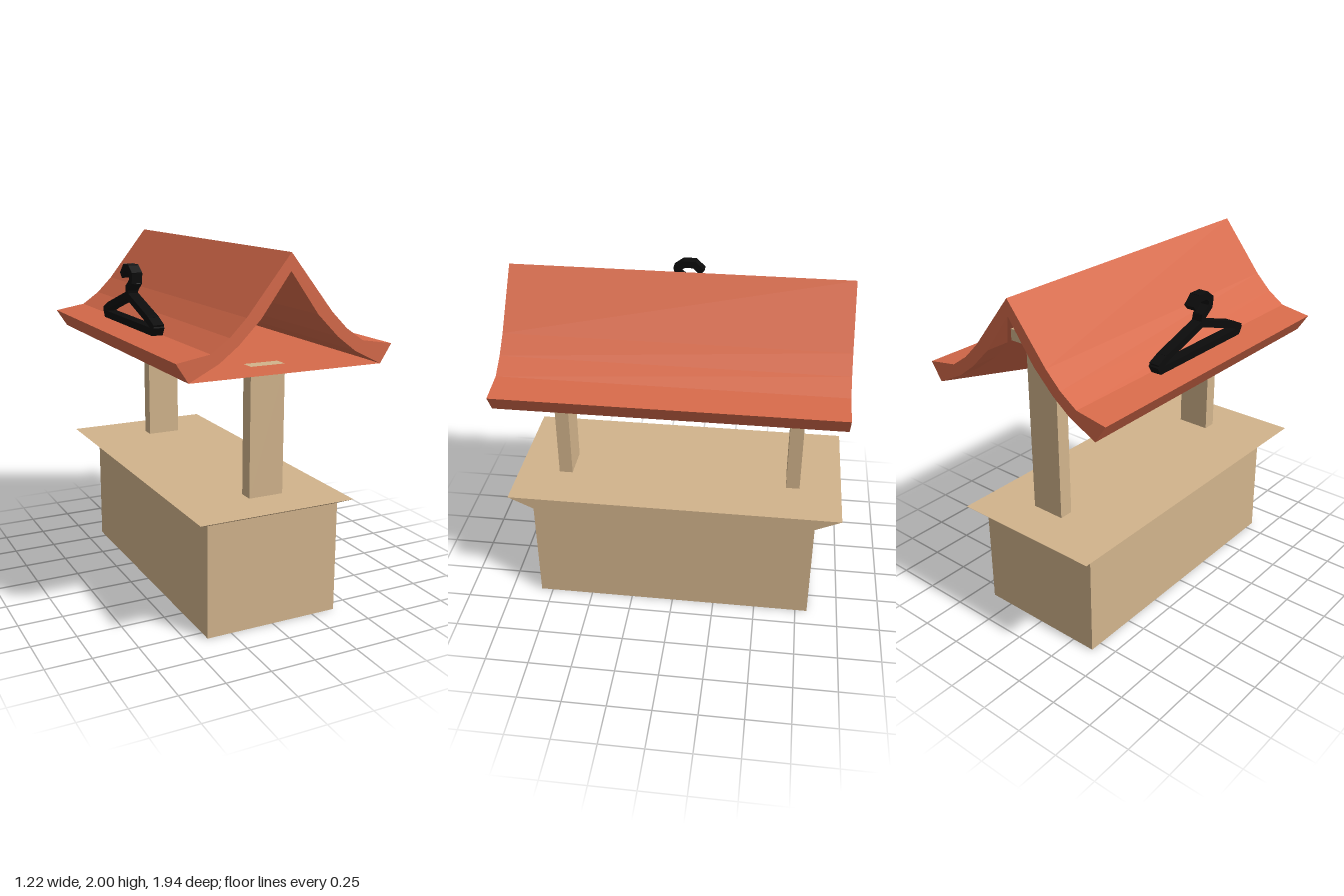
import * as THREE from 'three';

const mat = (color) => new THREE.MeshStandardMaterial({ color, flatShading: true, side: THREE.DoubleSide });

export function createModel() {
  const model = new THREE.Group();
  const wood = mat(0xd2b48c), tile = mat(0xd66a4a), black = mat(0x0c0c0c);

  function add(name, geometry, material, parent = model) {
    const mesh = new THREE.Mesh(geometry, material);
    mesh.name = name;
    parent.add(mesh);
    return mesh;
  }

  // Box between two corners
  function box(x0, x1, y0, y1, z0, z1) {
    const g = new THREE.BoxGeometry(x1 - x0, y1 - y0, z1 - z0);
    return g.translate((x0 + x1) / 2, (y0 + y1) / 2, (z0 + z1) / 2);
  }

  // Move the vertices of a geometry by a rule
  function reshape(g, rule) {
    const p = g.attributes.position, v = new THREE.Vector3();
    for (let i = 0; i < p.count; i++) {
      rule(v.fromBufferAttribute(p, i));
      p.setXYZ(i, v.x, v.y, v.z);
    }
    g.computeVertexNormals();
    return g;
  }

  // Counter body and its flared top, flush on the +x side
  add('counterBody', box(-0.39, 0.39, 0, 0.63, -0.82, 0.82), wood);
  add('counterTop', reshape(box(-0.39, 0.39, 0.63, 0.7, -0.82, 0.82), (v) => {
    if (v.y < 0.69) return;
    if (v.x < 0) v.x = -0.5;
    v.z = Math.sign(v.z) * 0.97;
  }), wood);

  // Roof: curved profile, mirrored and extruded along z
  const L = 0.935, W = 0.545, eave = 1.41, peak = 1.91;
  const outer = [[0, 2], [0.24, 1.7], [0.33, 1.61], [0.43, 1.54], [0.61, 1.51]];
  const inner = [[W, eave], [0.385, 1.49], [0.28, 1.57], [0.16, 1.69], [0, peak]];
  const half = [...outer, ...inner];
  const mirrored = half.slice(1, -1).reverse().map(([x, y]) => [-x, y]);
  const profile = new THREE.Shape([...half, ...mirrored].map(([x, y]) => new THREE.Vector2(x, y)));
  add('roof', new THREE.ExtrudeGeometry(profile, { depth: 2 * L, bevelEnabled: false }).translate(0, 0, -L), tile);

  // Soffit: a flat triangle and one that climbs to the rear peak
  const soffit = new THREE.BufferGeometry();
  soffit.setAttribute('position', new THREE.Float32BufferAttribute([
    W, eave, -L, W, eave, L, -W, eave, L,
    0, peak, -L, W, eave, -L, -W, eave, L,
  ], 3));
  soffit.computeVertexNormals();
  add('soffit', soffit, tile);

  // Posts, cut off where they meet the soffit
  const soffitHeight = (x, z) => eave + (peak - eave) * Math.max(0, (-W * z / L - x) / W);
  for (const [name, z] of [['frontPost', 0.685], ['rearPost', -0.685]]) {
    add(name, reshape(box(-0.1, 0.1, 0.7, 1.4, z - 0.04, z + 0.04), (v) => {
      if (v.y > 1) v.y = Math.min(1.82, soffitHeight(v.x, v.z));
    }), wood);
  }
  add('ridgeBeamEnd', box(-0.06, 0.02, 1.77, 1.83, -0.9, -0.76), wood);

  // Hanger: bars laid along polylines in the z-y plane
  const hanger = new THREE.Group();
  hanger.name = 'hanger';
  model.add(hanger);
  function bars(name, points, t) {
    for (let i = 0; i + 1 < points.length; i++) {
      const [z0, y0] = points[i], [z1, y1] = points[i + 1];
      const len = Math.hypot(z1 - z0, y1 - y0);
      const bar = add(name, new THREE.BoxGeometry(0.06, t, len + t * 0.5), black, hanger);
      bar.position.set(-0.46, (y0 + y1) / 2, (z0 + z1) / 2);
      bar.rotation.x = -Math.atan2(y1 - y0, z1 - z0);
    }
  }
  bars('hangerFrame', [[0, 1.71], [0.3, 1.615], [0.365, 1.585], [0.35, 1.56], [-0.35, 1.56], [-0.365, 1.585], [-0.3, 1.615], [0, 1.71]], 0.04);
  bars('hangerHook', [[0, 1.71], [0.01, 1.75], [0.065, 1.79], [0.07, 1.83], [0.03, 1.858], [-0.03, 1.858], [-0.07, 1.82]], 0.04);

  return model;
}
